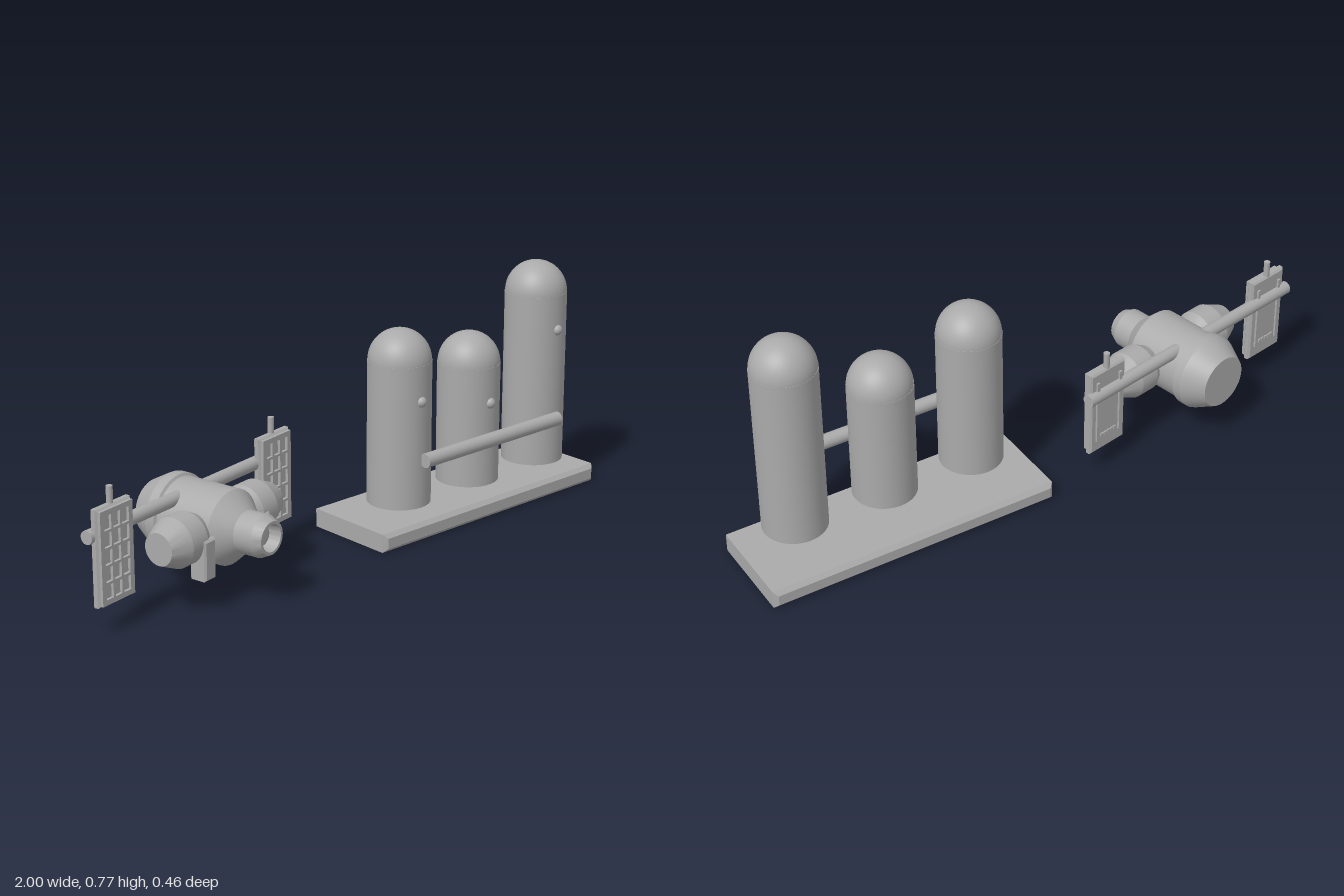
import * as THREE from 'three';
import { toCreasedNormals } from 'three/addons/utils/BufferGeometryUtils.js';

const grey = new THREE.MeshStandardMaterial({ color: 0xaaaaaa });
grey.name = 'plain grey';

function add(parent, name, geometry, x = 0, y = 0, z = 0) {
  const mesh = new THREE.Mesh(geometry, grey);
  mesh.name = name;
  mesh.position.set(x, y, z);
  parent.add(mesh);
  return mesh;
}

// Turned shape from [radius, height] pairs, bottom to top, with sharp steps kept
function turned(profile) {
  const points = profile.map(([r, h]) => new THREE.Vector2(r, h));
  return toCreasedNormals(new THREE.LatheGeometry(points, 40), 0.3);
}

function rod(radius, length) {
  return new THREE.CylinderGeometry(radius, radius, length, 24);
}

function rectangle(target, x, y, w, h) {
  target.moveTo(x - w / 2, y - h / 2);
  target.lineTo(x + w / 2, y - h / 2);
  target.lineTo(x + w / 2, y + h / 2);
  target.lineTo(x - w / 2, y + h / 2);
  target.closePath();
  return target;
}

// Box with chamfered edges, centred on the origin
function chamferBox(w, h, d, c) {
  const shape = rectangle(new THREE.Shape(), 0, 0, w - 2 * c, h - 2 * c);
  const geometry = new THREE.ExtrudeGeometry(shape, {
    depth: d - 2 * c, bevelEnabled: true, bevelSize: c, bevelThickness: c, bevelSegments: 1,
  });
  return geometry.translate(0, 0, c - d / 2);
}

function createTankFarm() {
  const farm = new THREE.Group();
  farm.name = 'tankFarm';
  add(farm, 'basePlate', chamferBox(0.96, 0.06, 0.332, 0.013), 0.52, 0.03, -0.029);

  // Domed tanks, each with a small valve knob on the front
  const tanks = [[0.21, 0.565, 0.45], [0.515, 0.495, 0.378], [0.82, 0.672, 0.558]];
  for (const [x, top, knobY] of tanks) {
    const tank = new THREE.Group();
    tank.name = 'tank';
    tank.position.set(x, 0, 0.017);
    const bottom = 0.104;
    add(tank, 'tankWall', new THREE.CylinderGeometry(0.101, 0.101, top - bottom, 48), 0, (top + bottom) / 2);
    add(tank, 'tankDome', new THREE.SphereGeometry(0.1, 48, 16, 0, Math.PI * 2, 0, Math.PI / 2), 0, top);
    add(tank, 'valveKnob', new THREE.SphereGeometry(0.018, 20, 14), 0, knobY, 0.096);
    farm.add(tank);
  }

  add(farm, 'feedPipe', rod(0.023, 0.605).rotateZ(Math.PI / 2), 0.513, 0.262, 0.132);
  return farm;
}

function createPanel() {
  const panel = new THREE.Group();
  panel.name = 'solarPanel';
  const w = 0.148, h = 0.297;
  add(panel, 'panelBack', chamferBox(w, h, 0.026, 0.006), 0, 0, -0.004);

  // Front frame with a grid of open cells
  const frame = rectangle(new THREE.Shape(), 0, 0, w - 0.012, h - 0.012);
  for (let col = -1; col <= 1; col++) {
    for (let row = -2; row <= 2; row++) {
      frame.holes.push(rectangle(new THREE.Path(), col * 0.037, row * 0.052, 0.029, 0.044));
    }
  }
  add(panel, 'cellFrame', new THREE.ExtrudeGeometry(frame, { depth: 0.01, bevelEnabled: false }), 0, 0, 0.008);

  // Rails and a row of studs on the back
  for (const side of [-1, 1]) {
    add(panel, 'backRail', new THREE.BoxGeometry(0.01, 0.22, 0.008), side * 0.048, 0.005, -0.02);
  }
  for (let i = -2; i <= 2; i++) {
    add(panel, 'backStud', new THREE.BoxGeometry(0.01, 0.01, 0.006), i * 0.014, -0.09, -0.019);
  }
  add(panel, 'antenna', rod(0.01, 0.06), 0, h / 2 + 0.02, -0.006);
  return panel;
}

function createStation() {
  const station = new THREE.Group();
  station.name = 'station';
  station.position.set(-0.53, 0.22, 0.017);
  station.rotation.y = 0.2;

  // Main body: chamfered rear cap, collar, drum, front cone and hollow docking port
  const hull = turned([
    [0, -0.237], [0.085, -0.237], [0.119, -0.175], [0.123, -0.165], [0.123, -0.135],
    [0.115, -0.13], [0.115, 0.06], [0.068, 0.112], [0.065, 0.115], [0.065, 0.178],
    [0.051, 0.207], [0.042, 0.207], [0.038, 0.165], [0, 0.165],
  ]);
  add(station, 'hull', hull.rotateX(Math.PI / 2));
  add(station, 'portHatch', turned([[0.03, 0.16], [0.03, 0.174], [0, 0.178]]).rotateX(Math.PI / 2));

  for (const side of [-1, 1]) {
    // Side modules with tapered ends
    const module = turned([[0, 0.06], [0.06, 0.06], [0.062, 0.1], [0.078, 0.13], [0.078, 0.195], [0.05, 0.258], [0, 0.258]]);
    add(station, 'sideModule', module.rotateZ(-side * Math.PI / 2));
    add(station, 'landingBracket', chamferBox(0.05, 0.125, 0.06, 0.006), side * 0.127, -0.055, 0.054);

    const panel = createPanel();
    panel.position.set(side * 0.367, 0.012, -0.074);
    station.add(panel);
  }

  add(station, 'panelBoom', rod(0.021, 0.91).rotateZ(Math.PI / 2), 0, 0.078, -0.092);
  return station;
}

export function createModel() {
  const model = new THREE.Group();
  model.name = 'stationAndTanks';
  model.add(createTankFarm(), createStation());
  return model;
}
